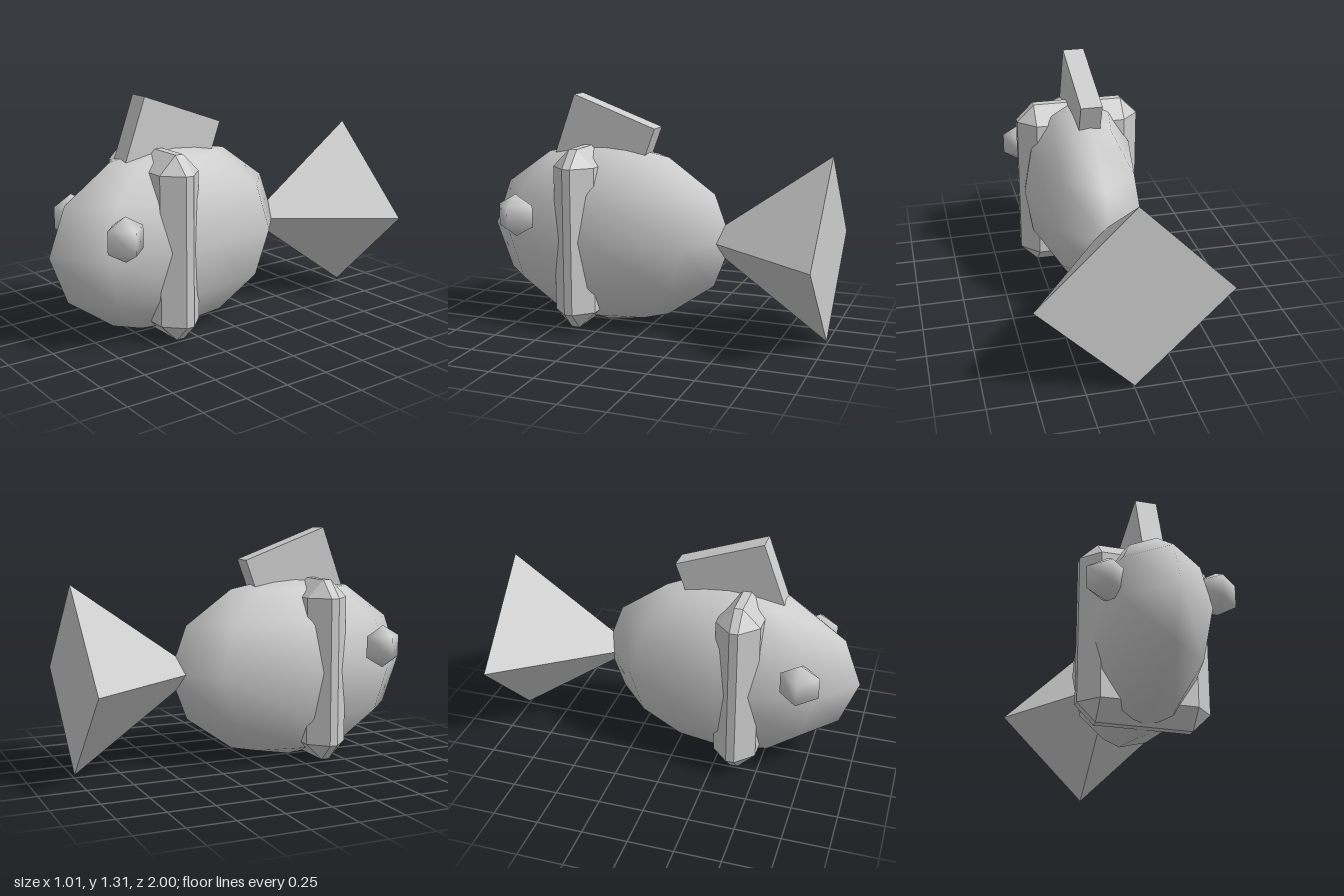
import * as THREE from 'three';
import { ConvexGeometry } from 'three/addons/geometries/ConvexGeometry.js';

// Box with every edge cut off by c, leaving small triangles at the corners
function chamferedBox(x, y, z, c) {
  const points = [];
  for (const sx of [-1, 1]) for (const sy of [-1, 1]) for (const sz of [-1, 1]) {
    points.push(
      new THREE.Vector3(sx * x, sy * (y - c), sz * (z - c)),
      new THREE.Vector3(sx * (x - c), sy * y, sz * (z - c)),
      new THREE.Vector3(sx * (x - c), sy * (y - c), sz * z)
    );
  }
  return new ConvexGeometry(points);
}

export function createModel() {
  const model = new THREE.Group();
  model.name = 'fish';

  const grey = new THREE.MeshStandardMaterial({ color: 0xcccccc });
  grey.name = 'light grey';
  const flatGrey = grey.clone();
  flatGrey.flatShading = true;

  const add = (name, geometry, material, x, y, z) => {
    const mesh = new THREE.Mesh(geometry, material);
    mesh.name = name;
    mesh.position.set(x, y, z);
    model.add(mesh);
    return mesh;
  };

  const midY = 0.52;

  // Smooth low-poly body, flattened sideways
  const body = new THREE.SphereGeometry(1, 8, 6);
  body.scale(0.333, 0.52, 0.73);
  add('body', body, grey, 0, midY, 0.27);

  // Chamfered block around the body that forms the side fins
  add('sideFins', chamferedBox(0.352, 0.505, 0.12, 0.097), flatGrey, 0, midY, 0.37);

  // Pyramid tail, point towards the body
  const tail = new THREE.ConeGeometry(0.505, 0.71, 4);
  tail.rotateX(Math.PI / 2);
  add('tail', tail, flatGrey, 0, midY, -0.645);

  // Back fin, tilted down towards the tail
  const fin = new THREE.BoxGeometry(0.12, 0.5, 0.51);
  fin.translate(0, -0.25, 0);
  add('backFin', fin, flatGrey, 0, 1.218, 0.21).rotation.x = -0.35;

  // Bulging eyes
  for (const side of [1, -1]) {
    add(side > 0 ? 'leftEye' : 'rightEye', new THREE.SphereGeometry(0.12, 4, 3), grey,
      side * 0.285, 0.64, 0.715);
  }
  return model;
}
